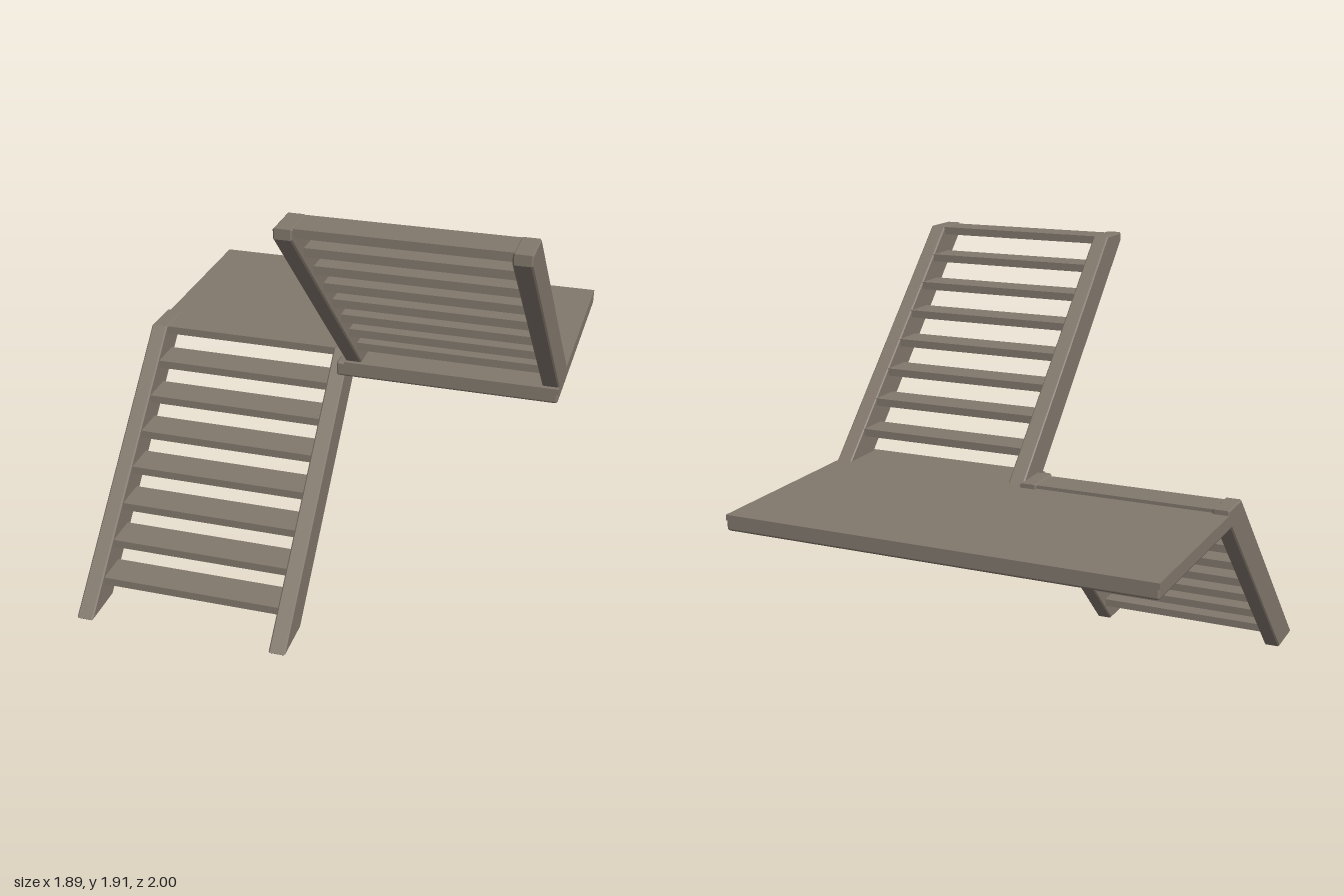
import * as THREE from 'three';
import { RoundedBoxGeometry } from 'three/addons/geometries/RoundedBoxGeometry.js';

const HALF = 0.945;   // half of the overall width
const RAIL = 0.073;   // thickness of stringers and landing rails
const wood = new THREE.MeshStandardMaterial({ color: 0x82786d });
wood.name = 'weatheredWood';

function add(parent, name, geometry) {
  const mesh = new THREE.Mesh(geometry, wood);
  mesh.name = name;
  parent.add(mesh);
  return mesh;
}

// Box given by its lower and upper limits, optionally with softened edges
function block(parent, name, [x0, y0, z0], [x1, y1, z1], radius = 0) {
  const size = [x1 - x0, y1 - y0, z1 - z0];
  const geometry = radius
    ? new RoundedBoxGeometry(...size, 2, radius)
    : new THREE.BoxGeometry(...size);
  add(parent, name, geometry).position.set((x0 + x1) / 2, (y0 + y1) / 2, (z0 + z1) / 2);
}

// Side board from a [z, y] outline, with lightly bevelled edges
function stringer(parent, name, outline, xCentre) {
  const bevel = 0.006;
  const shape = new THREE.Shape(outline.map(([z, y]) => new THREE.Vector2(z, y)));
  const geometry = new THREE.ExtrudeGeometry(shape, {
    depth: RAIL - 2 * bevel, bevelThickness: bevel, bevelSize: bevel,
    bevelOffset: -bevel, bevelSegments: 1,
  });
  geometry.translate(0, 0, -(RAIL - 2 * bevel) / 2);
  geometry.rotateY(-Math.PI / 2);
  add(parent, name, geometry).position.x = xCentre;
}

// One flight: two stringers and eight open treads
function flight(name, xMin, outline, topY, topZ, stepZ) {
  const group = new THREE.Group();
  group.name = name;
  const xMax = xMin + HALF;
  stringer(group, 'rightStringer', outline, xMin + RAIL / 2);
  stringer(group, 'leftStringer', outline, xMax - RAIL / 2);
  for (let i = 0; i < 8; i++) {
    const y = topY - i * 0.119;
    const z = topZ + i * stepZ;
    block(group, 'tread', [xMin + RAIL - 0.01, y - 0.035, z], [xMax - RAIL + 0.01, y, z + 0.15]);
  }
  return group;
}

// Landing: deck on a frame of rails, stepped forward on the left half
function landing() {
  const group = new THREE.Group();
  group.name = 'landing';
  const low = 0.88, top = 0.95, deck = 0.925;
  const frontRight = -0.1, frontLeft = 0.1, back = -1;

  block(group, 'rightDeck', [-HALF, deck, back], [0, top, frontRight]);
  block(group, 'leftDeck', [0, deck, back], [HALF, top, frontLeft]);

  const rail = (name, x0, z0, x1, z1) =>
    block(group, name, [x0, low, z0], [x1, top - 0.002, z1], 0.012);
  rail('backRail', -HALF, back, HALF, back + RAIL);
  rail('rightFrontRail', -HALF, frontRight - RAIL, 0, frontRight);
  rail('leftFrontRail', -RAIL / 2, frontLeft - RAIL, HALF, frontLeft);
  rail('rightRail', -HALF, back, -HALF + RAIL, frontRight);
  rail('leftRail', HALF - RAIL, back, HALF, frontLeft);
  rail('middleBeam', -RAIL / 2, back, RAIL / 2, frontLeft);
  return group;
}

export function createModel() {
  const model = new THREE.Group();
  model.name = 'staircase';

  // Lower flight rises from the front towards the landing
  const lowerOutline = [[0.97, 0], [0.975, 0.005], [0.01, 0.97], [-0.165, 0.97], [-0.165, 0.93], [0.765, 0]];
  model.add(flight('lowerFlight', -HALF, lowerOutline, 0.965, -0.15, 0.119));

  // Upper flight turns back and rises towards the front
  const upperOutline = [[0.07, 0.94], [1, 1.87], [1, 1.912], [0.832, 1.912], [-0.14, 0.94]];
  model.add(flight('upperFlight', 0, upperOutline, 1.909, 0.83, -0.119));

  model.add(landing());
  return model;
}
